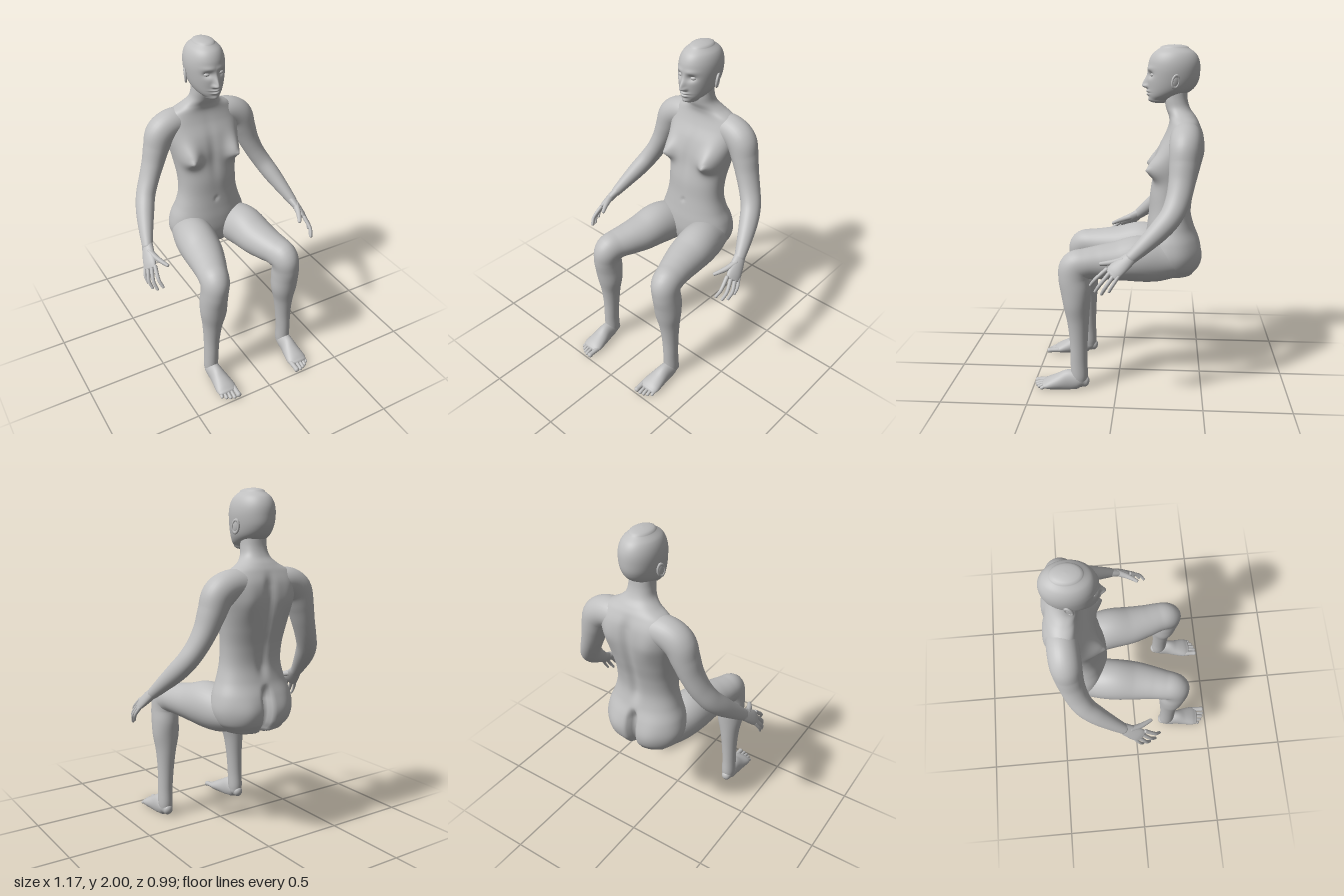
import * as THREE from 'three';

const skin = new THREE.MeshStandardMaterial({ color: 0xbfbfbf });
skin.name = 'plain grey';

const gauss = (...a) => Math.exp(-a.reduce((s, v) => s + v * v, 0));
const smooth = THREE.MathUtils.smoothstep;

// Closed smooth loft through rings [x, y, z, radiusA, radiusB]; radiusB lies along ref.
function loft(rows, o = {}) {
  const { ref = [0, 0, 1], segs = 24, steps = 6, side = 1, upright = false, square = 1, bulge = null, shape = null } = o;
  const spline = pts => new THREE.CatmullRomCurve3(pts, false, 'catmullrom', 0.5);
  const path = spline(rows.map(r => new THREE.Vector3(r[0] * side, r[1], r[2])));
  const size = spline(rows.map(r => new THREE.Vector3(r[3], r[4], 0)));
  const axis = new THREE.Vector3(ref[0] * side, ref[1], ref[2]);
  const n = (rows.length - 1) * steps;
  const rings = [];
  for (let i = 0; i <= n; i++) {
    const s = size.getPoint(i / n);
    const t = upright ? new THREE.Vector3(0, 1, 0) : path.getTangent(i / n);
    rings.push({ c: path.getPoint(i / n), t, a: s.x, b: s.y });
  }
  // Rounded ends
  const cap = (r, dir) => [1, 2, 3, 4, 5].map(k => {
    const w = k / 5 * Math.PI / 2, h = bulge ?? 0.8 * Math.min(r.a, r.b);
    const f = k === 5 ? 0.001 : Math.cos(w);
    return { c: r.c.clone().addScaledVector(r.t, dir * Math.sin(w) * h), t: r.t, a: r.a * f, b: r.b * f };
  });
  const all = [...cap(rings[0], -1).reverse(), ...rings, ...cap(rings[n], 1)];
  const pos = [], index = [];
  const pw = v => Math.sign(v) * Math.pow(Math.abs(v), square);
  all.forEach((r, i) => {
    const u = new THREE.Vector3().crossVectors(r.t, axis).normalize();
    const v = new THREE.Vector3().crossVectors(r.t, u);
    for (let j = 0; j < segs; j++) {
      const w = j / segs * Math.PI * 2;
      const p = r.c.clone().addScaledVector(u, r.a * pw(Math.cos(w))).addScaledVector(v, r.b * pw(Math.sin(w)));
      if (shape) shape(p, r);
      pos.push(p.x, p.y, p.z);
      if (i < all.length - 1) {
        const a = i * segs + j, b = i * segs + (j + 1) % segs;
        index.push(a, b, b + segs, a, b + segs, a + segs);
      }
    }
  });
  const g = new THREE.BufferGeometry();
  g.setAttribute('position', new THREE.Float32BufferAttribute(pos, 3));
  g.setIndex(index);
  g.computeVertexNormals();
  return g;
}

// Chest, spine and seat modelling
function shapeTorso(p, r) {
  const k = (p.z - r.c.z) / Math.max(r.b, 0.02);
  const ax = Math.abs(p.x), y = p.y;
  const front = smooth(k, 0, 0.6), back = smooth(-k, 0, 0.6);
  const dy = y - 1.3;
  p.z += front * (0.066 * gauss((ax - 0.148) / 0.056, dy / (dy > 0 ? 0.085 : 0.052))
    + 0.014 * gauss((ax - 0.152) / 0.013, dy / 0.013)
    - 0.008 * gauss(p.x / 0.012, (y - 1.02) / 0.014)
    - 0.008 * gauss(p.x / 0.03, (y - 1.32) / 0.14));
  p.z += back * (0.016 * gauss(p.x / 0.03) * smooth(y, 0.95, 1.05) * (1 - smooth(y, 1.48, 1.58))
    + 0.06 * gauss(p.x / 0.022) * (1 - smooth(y, 0.86, 0.95))
    - 0.02 * gauss((ax - 0.12) / 0.08, (y - 0.79) / 0.1)
    - 0.014 * gauss((ax - 0.13) / 0.06, (y - 1.41) / 0.09));
}

// Brow, eye sockets, nose, lips and chin
function shapeFace(p) {
  const front = smooth(p.z, -0.27, -0.2), ax = Math.abs(p.x), y = p.y;
  const dn = y - 1.768;
  p.z += front * (0.032 * gauss(p.x / 0.015, dn / (dn > 0 ? 0.045 : 0.012))
    + 0.012 * gauss((ax - 0.016) / 0.01, (y - 1.767) / 0.011)
    - 0.017 * gauss((ax - 0.042) / 0.024, (y - 1.832) / 0.018)
    + 0.005 * gauss((ax - 0.04) / 0.035, (y - 1.866) / 0.014)
    + 0.013 * gauss(p.x / 0.027, (y - 1.739) / 0.008)
    + 0.012 * gauss(p.x / 0.023, (y - 1.722) / 0.008)
    - 0.006 * gauss(p.x / 0.03, (y - 1.7305) / 0.004)
    + 0.008 * gauss(p.x / 0.025, (y - 1.69) / 0.014));
}

const torsoRings = [
  [0, 0.685, -0.325, 0.19, 0.125], [0, 0.73, -0.322, 0.232, 0.152], [0, 0.8, -0.318, 0.252, 0.162],
  [0, 0.88, -0.312, 0.24, 0.155], [0, 0.96, -0.303, 0.21, 0.137], [0, 1.05, -0.3, 0.188, 0.125],
  [0, 1.15, -0.308, 0.187, 0.128], [0, 1.25, -0.327, 0.2, 0.133], [0, 1.34, -0.342, 0.217, 0.137],
  [0, 1.42, -0.358, 0.232, 0.13], [0, 1.5, -0.375, 0.235, 0.108], [0, 1.56, -0.373, 0.195, 0.087],
  [0, 1.6, -0.36, 0.125, 0.077], [0, 1.64, -0.338, 0.084, 0.07], [0, 1.69, -0.325, 0.072, 0.066],
  [0, 1.76, -0.322, 0.07, 0.064]];

const headRings = [
  [0, 1.69, -0.23, 0.046, 0.058], [0, 1.715, -0.262, 0.073, 0.096], [0, 1.75, -0.29, 0.093, 0.128],
  [0, 1.8, -0.304, 0.106, 0.146], [0, 1.86, -0.309, 0.113, 0.149], [0, 1.91, -0.31, 0.108, 0.143],
  [0, 1.95, -0.31, 0.091, 0.122], [0, 1.98, -0.31, 0.06, 0.083]];

const armRings = [
  [0.09, 1.49, -0.385, 0.085, 0.085], [0.19, 1.488, -0.38, 0.088, 0.088], [0.262, 1.445, -0.375, 0.09, 0.088],
  [0.298, 1.36, -0.37, 0.077, 0.082], [0.33, 1.27, -0.36, 0.065, 0.074], [0.37, 1.18, -0.34, 0.058, 0.068],
  [0.412, 1.1, -0.305, 0.056, 0.063], [0.447, 1.03, -0.245, 0.053, 0.058], [0.482, 0.955, -0.165, 0.042, 0.046],
  [0.51, 0.89, -0.092, 0.03, 0.034]];

const palmRings = [
  [0.503, 0.905, -0.108, 0.028, 0.032], [0.52, 0.865, -0.06, 0.025, 0.042],
  [0.535, 0.828, -0.015, 0.02, 0.047], [0.543, 0.808, 0.008, 0.014, 0.043]];

const legRings = [
  [0.13, 0.775, -0.36, 0.1, 0.1], [0.15, 0.775, -0.23, 0.128, 0.12], [0.17, 0.785, -0.12, 0.135, 0.125],
  [0.185, 0.775, 0, 0.115, 0.119], [0.205, 0.77, 0.1, 0.1, 0.105], [0.225, 0.765, 0.18, 0.09, 0.093],
  [0.238, 0.745, 0.237, 0.098, 0.086], [0.247, 0.685, 0.25, 0.09, 0.08], [0.25, 0.61, 0.24, 0.088, 0.082],
  [0.25, 0.52, 0.235, 0.078, 0.08], [0.255, 0.42, 0.228, 0.064, 0.061], [0.26, 0.3, 0.225, 0.053, 0.049],
  [0.265, 0.18, 0.225, 0.05, 0.044], [0.267, 0.09, 0.222, 0.05, 0.044], [0.267, 0.05, 0.22, 0.045, 0.04]];

const footRings = [
  [0.268, 0.045, 0.188, 0.033, 0.03], [0.268, 0.055, 0.225, 0.055, 0.042], [0.266, 0.05, 0.285, 0.066, 0.045],
  [0.262, 0.038, 0.345, 0.05, 0.056], [0.26, 0.028, 0.4, 0.034, 0.064], [0.26, 0.022, 0.43, 0.022, 0.06]];

// Knuckle, middle and tip of each finger
const fingers = [
  [[0.522, 0.828, 0.036], [0.53, 0.775, 0.095], [0.517, 0.735, 0.125]],
  [[0.537, 0.814, 0.018], [0.552, 0.755, 0.067], [0.542, 0.708, 0.097]],
  [[0.55, 0.804, -0.005], [0.568, 0.745, 0.037], [0.558, 0.7, 0.062]],
  [[0.558, 0.802, -0.03], [0.574, 0.755, 0], [0.57, 0.718, 0.02]]];

const toes = [[0.214, 0.484, 0.0165], [0.243, 0.485, 0.0115], [0.266, 0.477, 0.011], [0.288, 0.465, 0.0105], [0.309, 0.447, 0.0105]];

export function createModel() {
  const body = new THREE.Group();
  body.name = 'seatedFigure';
  const add = (name, geo, parent = body) => {
    const m = new THREE.Mesh(geo, skin);
    m.name = name;
    parent.add(m);
    return m;
  };

  add('torso', loft(torsoRings, { upright: true, segs: 128, steps: 8, square: 0.9, bulge: 0.035, shape: shapeTorso }));
  add('head', loft(headRings, { upright: true, segs: 160, steps: 14, bulge: 0.02, shape: shapeFace }));

  for (const side of [1, -1]) {
    const tag = side > 0 ? 'left' : 'right';

    // Eye and ear
    const eye = add(tag + 'Eye', new THREE.SphereGeometry(0.017, 24, 16));
    eye.scale.set(1.15, 0.7, 1);
    eye.position.set(side * 0.042, 1.831, -0.193);
    const ear = new THREE.Group();
    ear.name = tag + 'Ear';
    ear.position.set(side * 0.114, 1.797, -0.318);
    ear.rotation.set(-0.2, side * -1.2, 0);
    body.add(ear);
    const rim = add('earRim', new THREE.TorusGeometry(0.021, 0.006, 10, 28), ear);
    rim.scale.set(0.95, 1.6, 1.2);
    const bowl = add('earBowl', new THREE.SphereGeometry(0.021, 20, 14), ear);
    bowl.scale.set(0.95, 1.55, 0.3);

    // Arm and hand
    add(tag + 'Arm', loft(armRings, { side, segs: 32 }));
    const hand = new THREE.Group();
    hand.name = tag + 'Hand';
    body.add(hand);
    add('palm', loft(palmRings, { side, ref: [-0.4, 0.3, 0.8] }), hand);
    fingers.forEach((f, i) => {
      const r = i === 3 ? 0.0105 : 0.0125;
      add('finger', loft(f.map((p, k) => [...p, r * (1 - 0.15 * k), r * (1 - 0.15 * k)]), { side, segs: 14 }), hand);
    });
    add('thumb', loft([[0.513, 0.878, -0.055, 0.018, 0.022], [0.497, 0.86, 0, 0.016, 0.018],
      [0.478, 0.848, 0.042, 0.013, 0.014], [0.459, 0.838, 0.075, 0.01, 0.011]], { side, segs: 16 }), hand);

    // Leg and foot
    add(tag + 'Leg', loft(legRings, { side, ref: [1, 0, 0], segs: 40 }));
    const foot = new THREE.Group();
    foot.name = tag + 'Foot';
    body.add(foot);
    const flat = p => { p.y = Math.max(p.y, 0.003); };
    add('sole', loft(footRings, { side, ref: [1, 0, 0], segs: 32, shape: flat }), foot);
    for (const [x, z, r] of toes) {
      add('toe', loft([[x, 0.025, z - 0.065, r, r], [x, 0.022, z - 0.025, r * 0.9, r * 0.9],
        [x, r + 0.002, z, r, r]], { side, ref: [1, 0, 0], segs: 14, shape: flat }), foot);
    }
  }
  return body;
}
